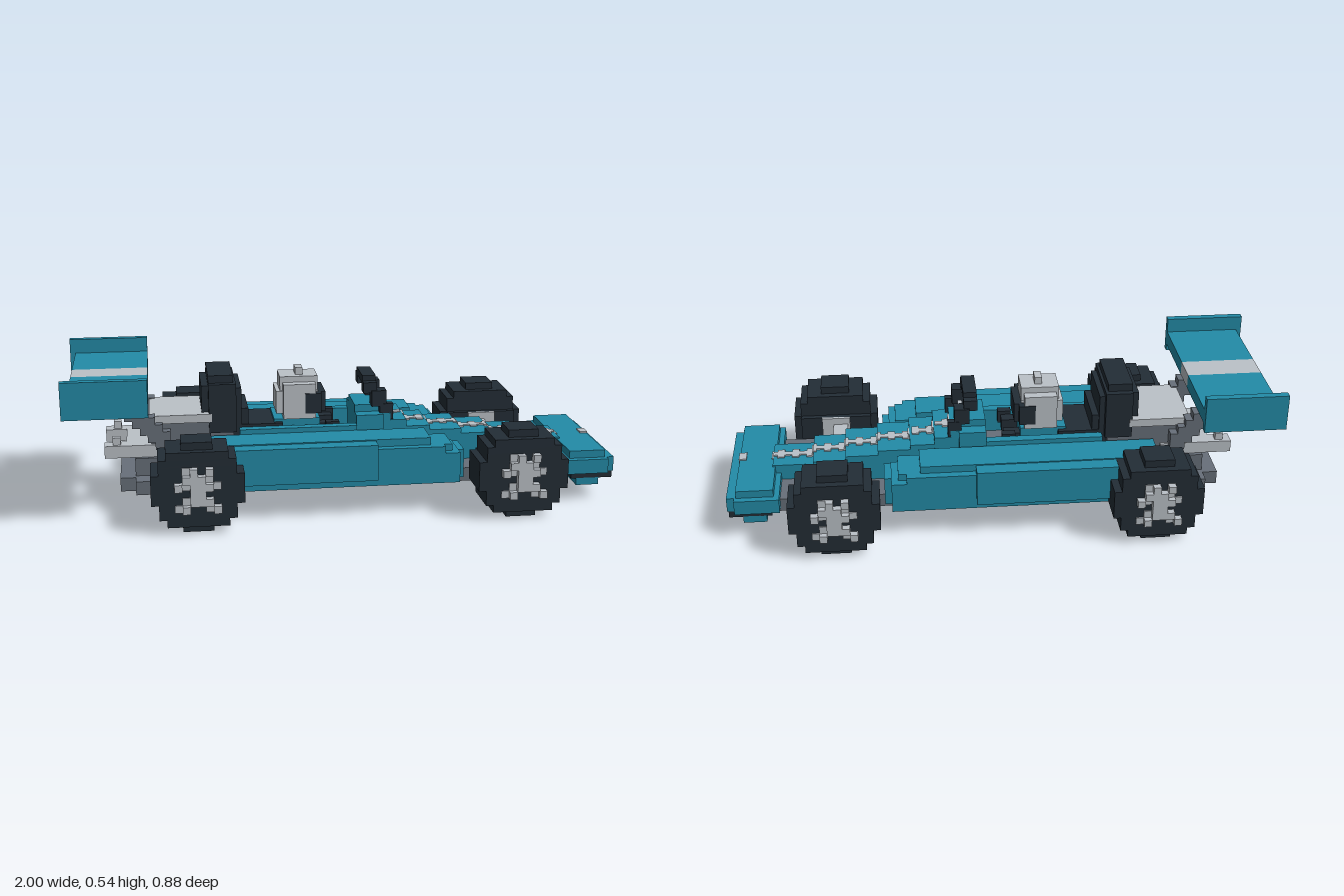
import * as THREE from 'three';

export function createModel() {
  const car = new THREE.Group();
  const mat = (name, color) => {
    const m = new THREE.MeshStandardMaterial({ color });
    m.name = name;
    return m;
  };
  const teal = mat('teal paint', 0x238ca8);
  const dark = mat('dark rubber', 0x232d36);
  const light = mat('light grey', 0xbcc2c8);
  const grey = mat('mid grey', 0x68707a);
  const U = 0.02705; // block size

  // Box from its limits; pair() mirrors it across z
  function box(name, m, x0, x1, y0, y1, z0, z1, parent = car) {
    const mesh = new THREE.Mesh(new THREE.BoxGeometry(x1 - x0, y1 - y0, z1 - z0), m);
    mesh.position.set((x0 + x1) / 2, (y0 + y1) / 2, (z0 + z1) / 2);
    mesh.name = name;
    parent.add(mesh);
    return mesh;
  }
  const mid = (name, m, x0, x1, y0, y1, z) => box(name, m, x0, x1, y0, y1, -z, z);
  const pair = (name, m, x0, x1, y0, y1, z0, z1) => {
    box(name, m, x0, x1, y0, y1, z0, z1);
    box(name, m, x0, x1, y0, y1, -z1, -z0);
  };

  // Floor with stepped rear corners
  mid('floor', grey, -0.76, 0.82, 0.085, 0.135, 0.22);
  mid('floorTail', grey, -0.815, -0.76, 0.085, 0.135, 0.17);

  // Side pods
  pair('sidePod', teal, -0.54, 0.35, 0.108, 0.245, 0.135, 0.3);
  pair('sidePodTop', teal, -0.57, 0.3, 0.2, 0.272, 0.14, 0.27);
  pair('sidePodOuter', teal, -0.43, 0.1, 0.136, 0.268, 0.27, 0.326);
  pair('sidePodFrontTop', teal, 0.3, 0.38, 0.2, 0.245, 0.135, 0.27);
  pair('sidePodFront', teal, 0.35, 0.405, 0.108, 0.22, 0.135, 0.3);
  pair('sidePodTip', teal, 0.405, 0.43, 0.108, 0.215, 0.135, 0.245);

  // Nose steps down to the front, each with a stripe on its tread and riser
  const steps = [
    [0.05, 0.14, 0.352, 0.08], [0.14, 0.18, 0.325, 0.11], [0.18, 0.24, 0.298, 0.11],
    [0.24, 0.33, 0.271, 0.108], [0.33, 0.45, 0.253, 0.108], [0.45, 0.57, 0.235, 0.108],
    [0.57, 0.69, 0.215, 0.1], [0.69, 0.84, 0.195, 0.08],
  ];
  steps.forEach(([x0, x1, top, w], i) => {
    mid('noseStep', teal, x0, x1, 0.13, top, w);
    const next = i < steps.length - 1 ? steps[i + 1][2] : 0.16;
    mid('noseStripeRiser', light, x1, x1 + 0.006, next, top, 0.027);
    if (i > 1) {
      // dashed stripe of alternating width
      for (let x = x0, k = 0; x < x1 - 0.01; x += U, k++) {
        mid('noseStripe', light, x, Math.min(x + U, x1), top, top + 0.005, k % 2 ? 0.012 : 0.027);
      }
    }
  });
  pair('cockpitCowl', teal, 0.05, 0.15, 0.13, 0.325, 0.08, 0.13);
  pair('cockpitSide', teal, -0.38, 0.05, 0.13, 0.29, 0.105, 0.14);
  mid('cockpitFloor', grey, -0.1, 0.05, 0.135, 0.2, 0.105);
  pair('cockpitRim', dark, -0.06, -0.01, 0.25, 0.298, 0.075, 0.106);

  // Front wing
  mid('frontWingTop', teal, 0.83, 0.965, 0.16, 0.19, 0.245);
  mid('frontWing', teal, 0.81, 0.972, 0.108, 0.162, 0.27);
  mid('frontWingLip', teal, 0.965, 1, 0.108, 0.162, 0.245);
  mid('frontWingCentre', teal, 0.83, 1, 0.083, 0.108, 0.108);
  pair('frontWingVent', dark, 0.84, 0.995, 0.083, 0.108, 0.108, 0.245);
  mid('frontWingBase', teal, 0.86, 0.945, 0.057, 0.084, 0.245);
  mid('frontWingStripe', light, 0.94, 0.968, 0.162, 0.196, 0.024);

  // Windscreen hoop, leaning back
  pair('windscreenPost', dark, 0.11, 0.165, 0.35, 0.41, 0.055, 0.108);
  pair('windscreenFoot', dark, 0.14, 0.19, 0.3, 0.36, 0.081, 0.109);
  pair('windscreenCorner', dark, 0.08, 0.13, 0.4, 0.44, 0.05, 0.1);
  mid('windscreenTop', dark, 0.08, 0.13, 0.432, 0.46, 0.07);
  mid('dashStripe', light, 0.13, 0.146, 0.35, 0.38, 0.027);

  // Driver
  mid('driverBody', teal, -0.25, -0.08, 0.15, 0.31, 0.085);
  mid('helmetBase', light, -0.21, -0.1, 0.285, 0.33, 0.055);
  mid('helmet', light, -0.24, -0.085, 0.325, 0.41, 0.065);
  mid('helmetSides', light, -0.215, -0.095, 0.31, 0.44, 0.092);
  mid('helmetCrown', light, -0.225, -0.085, 0.405, 0.462, 0.055);
  mid('helmetButton', light, -0.165, -0.138, 0.46, 0.488, 0.027);
  mid('visor', dark, -0.1, -0.058, 0.33, 0.405, 0.07);
  pair('visorSide', dark, -0.135, -0.075, 0.33, 0.405, 0.06, 0.096);
  pair('driverArm', dark, -0.1, -0.02, 0.24, 0.285, 0.03, 0.075);

  // Seat and roll hoop
  mid('seat', dark, -0.4, -0.22, 0.13, 0.3, 0.104);
  mid('seatBack', dark, -0.41, -0.37, 0.28, 0.44, 0.108);
  mid('seatSlope', dark, -0.38, -0.345, 0.28, 0.36, 0.1);
  mid('rollHoop', dark, -0.49, -0.39, 0.28, 0.46, 0.132);
  mid('rollHoopTop', dark, -0.49, -0.4, 0.46, 0.488, 0.108);
  mid('rollHoopBack', dark, -0.515, -0.48, 0.3, 0.45, 0.105);

  // Engine and gearbox
  mid('engine', grey, -0.7, -0.4, 0.13, 0.322, 0.125);
  mid('engineCover', light, -0.705, -0.48, 0.322, 0.352, 0.135);
  mid('gearbox', grey, -0.76, -0.6, 0.13, 0.2, 0.15);
  mid('gearboxTop', light, -0.79, -0.68, 0.2, 0.245, 0.08);
  pair('exhaust', light, -0.868, -0.6, 0.2, 0.245, 0.08, 0.135);
  pair('exhaustBump', light, -0.838, -0.81, 0.245, 0.272, 0.095, 0.122);

  // Rear wing with stepped struts
  for (let i = 0; i < 6; i++) {
    const x = -0.82 + i * U, y = 0.4 - i * U;
    pair('wingStrut', grey, x, x + 0.055, y - 0.03, y + 0.036, 0.11, 0.163);
  }
  pair('rearWing', teal, -0.98, -0.705, 0.435, 0.487, 0.056, 0.326);
  mid('rearWingStripe', light, -0.98, -0.705, 0.435, 0.487, 0.056);
  pair('rearWingEndPlate', teal, -1, -0.705, 0.408, 0.541, 0.325, 0.353);

  // Suspension arms
  for (const x of [-0.57, 0.565]) {
    pair('suspensionArm', light, x, x + 0.055, 0.15, 0.19, 0.1, 0.26);
    pair('suspensionBrace', light, x - 0.025, x + 0.025, 0.135, 0.165, 0.08, 0.17);
  }

  // Wheels: blocky discs built from rows, with a raised spoked hub
  const rows = [4, 8, 10, 10, 12, 12, 12, 12, 10, 10, 8, 4];
  const hub = ['.##.#.', '.####.', '######', '..##..', '.####.', '##..##'];
  function wheel(cx, side) {
    const g = new THREE.Group();
    g.name = 'wheel';
    rows.forEach((n, r) => {
      const inset = r === 0 || r === 11 ? U : 0;
      box('tyreRow', dark, -n * U / 2, n * U / 2, r * U, (r + 1) * U, 0.256 + inset, 0.416 - inset, g);
    });
    box('tyreShoulder', dark, -5 * U, 5 * U, 4 * U, 8 * U, 0.235, 0.256, g);
    hub.forEach((row, r) => [...row].forEach((c, i) => {
      if (c !== '#') return;
      const x = (i - 3) * U, y = (8 - r) * U;
      const raised = (r + i) % 2 === 0 || (i > 1 && i < 4);
      box('hubBlock', light, x, x + U, y, y + U, 0.4, raised ? 0.442 : 0.421, g);
    }));
    box('innerHub', light, -2 * U, 2 * U, 4 * U, 8 * U, 0.225, 0.237, g);
    g.position.x = cx;
    if (side < 0) g.rotation.y = Math.PI;
    car.add(g);
  }
  for (const cx of [-0.545, 0.61]) for (const side of [1, -1]) wheel(cx, side);

  return car;
}
